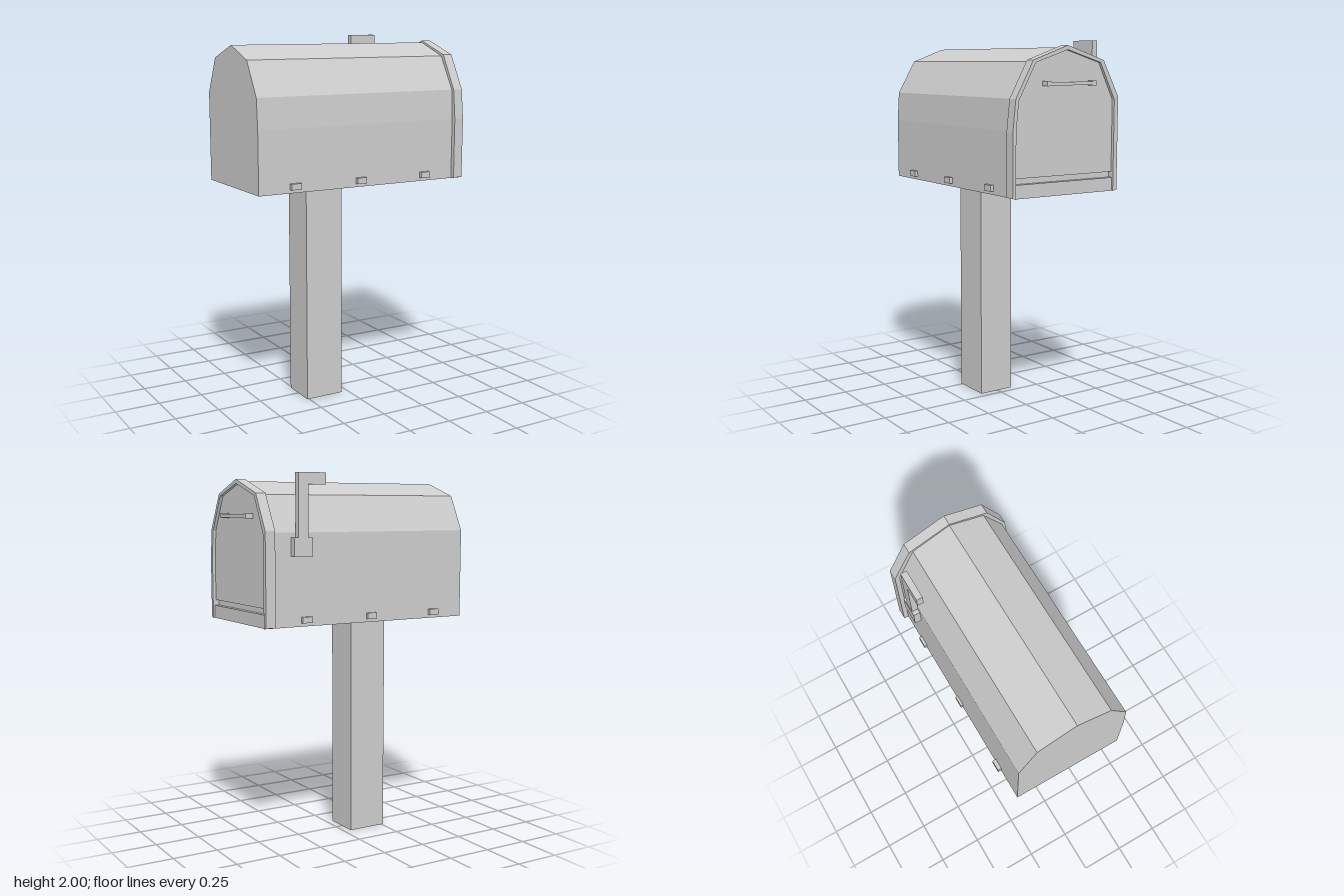
import * as THREE from 'three';

// Outlines as [z, y], from the front wall over the roof to the back wall
const BODY = [[0.31, 1.22], [0.31, 1.55], [0.3, 1.71], [0.195, 1.89], [0.005, 1.96], [-0.205, 1.89], [-0.3, 1.7], [-0.3, 1.22]];
const RIM_OUTER = [[0.335, 1.225], [0.335, 1.55], [0.318, 1.71], [0.215, 1.897], [0.005, 1.97], [-0.225, 1.897], [-0.325, 1.71], [-0.325, 1.225]];
const RIM_INNER = [[0.315, 1.22], [0.315, 1.55], [0.3, 1.7], [0.2, 1.885], [0.005, 1.948], [-0.205, 1.885], [-0.3, 1.695], [-0.3, 1.22]];

export function createModel() {
  const group = new THREE.Group();
  const metal = new THREE.MeshStandardMaterial({ color: 0xcccccc });
  metal.name = 'light grey';

  const add = (name, geometry) => {
    const mesh = new THREE.Mesh(geometry, metal);
    mesh.name = name;
    group.add(mesh);
  };

  // Box given by its limits on each axis
  const box = (name, x0, x1, y0, y1, z0, z1) => {
    const g = new THREE.BoxGeometry(x1 - x0, y1 - y0, z1 - z0);
    g.translate((x0 + x1) / 2, (y0 + y1) / 2, (z0 + z1) / 2);
    add(name, g);
  };

  // Outline in the z-y plane extruded along x
  const prism = (name, outline, x0, x1) => {
    const shape = new THREE.Shape(outline.map(([z, y]) => new THREE.Vector2(-z, y)));
    const g = new THREE.ExtrudeGeometry(shape, { depth: x1 - x0, bevelEnabled: false });
    g.rotateY(Math.PI / 2).translate(x0, 0, 0);
    add(name, g);
  };

  // Post and faceted box body
  box('post', -0.26, -0.04, 0, 1.225, -0.095, 0.11);
  prism('body', BODY, -0.635, 0.552);

  // Arched rim with the recessed door, and a sill below a narrow gap
  prism('doorRim', [...RIM_OUTER, ...RIM_INNER.slice().reverse()], 0.55, 0.605);
  const door = RIM_INNER.map(([z, y]) => [z, Math.max(y, 1.32)]);
  prism('door', door, 0.55, 0.588);
  box('doorBacking', 0.55, 0.57, 1.22, 1.33, -0.3, 0.315);
  box('doorSill', 0.55, 0.595, 1.22, 1.29, -0.3, 0.315);

  // Pull handle
  box('handleBar', 0.612, 0.63, 1.773, 1.79, -0.16, 0.147);
  box('handleEnd', 0.585, 0.63, 1.77, 1.795, -0.16, -0.138);
  box('handleEnd', 0.585, 0.63, 1.77, 1.795, 0.125, 0.147);

  // Raised flag on the back wall
  box('flagMount', 0.34, 0.447, 1.58, 1.675, -0.335, -0.295);
  const flag = [[0.42, 1.62], [0.42, 2], [0.26, 2], [0.26, 1.94], [0.363, 1.94], [0.363, 1.62]];
  const flagShape = new THREE.Shape(flag.map(([x, y]) => new THREE.Vector2(x, y)));
  add('flag', new THREE.ExtrudeGeometry(flagShape, { depth: 0.033, bevelEnabled: false }).translate(0, 0, -0.331));

  // Small tabs along both lower edges
  for (const x of [-0.43, -0.04, 0.365]) {
    box('frontTab', x - 0.029, x + 0.029, 1.238, 1.27, 0.3, 0.329);
  }
  [[-0.442, -0.32], [-0.038, -0.313], [0.36, -0.315]].forEach(([x, z]) => {
    box('backTab', x - 0.029, x + 0.029, 1.238, 1.27, z, -0.29);
  });

  return group;
}
